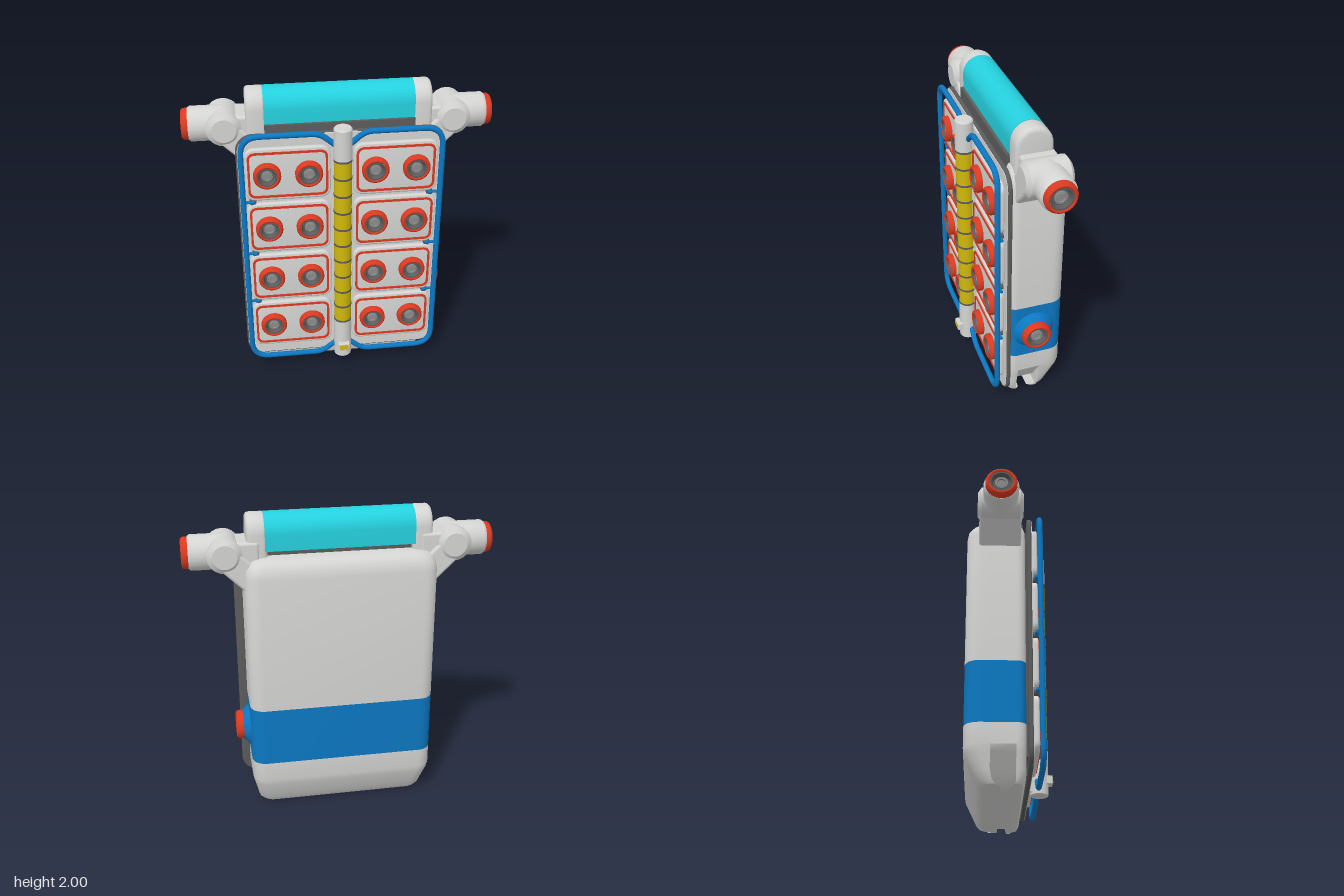
import * as THREE from 'three';
import { toCreasedNormals } from 'three/addons/utils/BufferGeometryUtils.js';
import { RoundedBoxGeometry } from 'three/addons/geometries/RoundedBoxGeometry.js';

const mat = (name, color) => {
  const m = new THREE.MeshStandardMaterial({ color });
  m.name = name;
  return m;
};

export function createModel() {
  const M = {
    shell: mat('light grey', 0xd4d5d3),
    dark: mat('dark grey', 0x5c5c5c),
    mid: mat('mid grey', 0x8b8b8b),
    blue: mat('blue', 0x0c78c2),
    red: mat('red', 0xdb3a20),
    cyan: mat('cyan', 0x25d0de),
    yellow: mat('yellow', 0xd0b80c),
  };
  const root = new THREE.Group();
  root.name = 'equipmentPack';
  const add = (name, geo, material, x = 0, y = 0, z = 0, parent = root) => {
    const mesh = new THREE.Mesh(geo, material);
    mesh.name = name;
    mesh.position.set(x, y, z);
    parent.add(mesh);
    return mesh;
  };
  const crease = (geo, a = 0.6) => toCreasedNormals(geo, a);
  const lathe = (pts, seg = 32) =>
    crease(new THREE.LatheGeometry(pts.map(p => new THREE.Vector2(...p)), seg));

  // Rounded rectangle, as a shape or a hole
  const roundRect = (w, h, r, path = new THREE.Shape()) => {
    const x = w / 2 - r, y = h / 2 - r;
    path.absarc(x, y, r, 0, Math.PI / 2);
    path.absarc(-x, y, r, Math.PI / 2, Math.PI);
    path.absarc(-x, -y, r, Math.PI, Math.PI * 1.5);
    path.absarc(x, -y, r, Math.PI * 1.5, Math.PI * 2);
    path.closePath();
    return path;
  };
  const slab = (shape, depth, bevel = 0) => {
    const geo = new THREE.ExtrudeGeometry(shape, {
      depth: depth - 2 * bevel, curveSegments: 8, bevelEnabled: bevel > 0,
      bevelThickness: bevel, bevelSize: bevel, bevelOffset: -bevel, bevelSegments: 3,
    });
    geo.translate(0, 0, bevel);
    return crease(geo);
  };

  // Body: horizontal sections joined upwards, with a recess d in each side
  const section = ([y, hw, zf, zb, d]) => {
    const half = [], rf = 0.05, rb = 0.09, n = 6;
    for (let i = 0; i <= n; i++) {
      const a = (1 - i / n) * Math.PI / 2;
      half.push([hw - rf + rf * Math.cos(a), zf - rf + rf * Math.sin(a)]);
    }
    half.push([hw, 0.03], [hw - d, 0.03], [hw - d, -0.12], [hw, -0.12]);
    for (let i = 0; i <= n; i++) {
      const a = -i / n * Math.PI / 2;
      half.push([hw - rb + rb * Math.cos(a), zb + rb + rb * Math.sin(a)]);
    }
    const ring = half.concat(half.slice().reverse().map(([x, z]) => [-x, z]));
    return ring.map(([x, z]) => [x, y, z]);
  };
  const loft = (levels, capBottom, capTop) => {
    const rings = levels.map(section), n = rings[0].length, pos = rings.flat(2), idx = [];
    for (let i = 0; i < rings.length - 1; i++) {
      for (let j = 0; j < n; j++) {
        const a = i * n + j, b = i * n + (j + 1) % n;
        idx.push(a, b, b + n, a, b + n, a + n);
      }
    }
    const cap = (row, up) => {
      const c = pos.length / 3, [y, , zf, zb] = levels[row];
      pos.push(0, y, (zf + zb) / 2);
      for (let j = 0; j < n; j++) {
        const a = row * n + j, b = row * n + (j + 1) % n;
        idx.push(c, up ? a : b, up ? b : a);
      }
    };
    if (capBottom) cap(0, false);
    if (capTop) cap(levels.length - 1, true);
    const geo = new THREE.BufferGeometry();
    geo.setAttribute('position', new THREE.Float32BufferAttribute(pos, 3));
    geo.setIndex(idx);
    return crease(geo);
  };
  add('lowerBody', loft([
    [0, 0.52, 0.05, -0.15, 0.11], [0.012, 0.548, 0.072, -0.18, 0.105], [0.04, 0.56, 0.085, -0.2, 0.09],
    [0.09, 0.57, 0.09, -0.222, 0.065], [0.19, 0.592, 0.09, -0.268, 0.02], [0.23, 0.6, 0.09, -0.275, 0],
    [0.36, 0.6, 0.09, -0.275, 0]], true, false), M.shell);
  add('bodyBand', loft([[0.36, 0.6, 0.09, -0.275, 0], [0.75, 0.6, 0.09, -0.275, 0]]), M.blue);
  add('upperBody', loft([
    [0.75, 0.6, 0.09, -0.275, 0], [1.63, 0.6, 0.09, -0.275, 0], [1.68, 0.59, 0.088, -0.267, 0],
    [1.715, 0.57, 0.08, -0.248, 0], [1.735, 0.545, 0.07, -0.225, 0], [1.745, 0.5, 0.05, -0.19, 0]],
  false, true), M.shell);

  // Handle with a domed profile
  const dome = bottom => {
    const s = new THREE.Shape();
    s.moveTo(-0.115, bottom);
    s.lineTo(0.115, bottom);
    s.lineTo(0.115, 1.885);
    s.absarc(0, 1.885, 0.115, 0, Math.PI);
    s.closePath();
    return s;
  };
  const alongX = geo => geo.rotateY(Math.PI / 2);
  add('handleGrip', alongX(slab(dome(1.78), 0.93)), M.cyan, -0.465, 0, -0.055);
  add('handleRecess', new THREE.BoxGeometry(0.93, 0.1, 0.21), M.dark, 0, 1.745, -0.025);
  for (const s of [-1, 1]) {
    add('handleEnd', alongX(slab(dome(1.68), 0.125, 0.025)), M.shell, s > 0 ? 0.45 : -0.575, 0, -0.055);
  }

  // Socket facing +z: red rim, dark bowl, mid grey core
  const socket = (name, r, depth, parent) => {
    const g = new THREE.Group();
    g.name = name;
    const d = depth;
    const part = (n, pts, m) => add(n, lathe(pts).rotateX(Math.PI / 2), m, 0, 0, 0, g);
    part('rim', [[r, 0], [r, d * 0.6], [r * 0.93, d * 0.88], [r * 0.83, d], [r * 0.74, d * 0.92], [r * 0.72, 0]], M.red);
    part('bowl', [[r * 0.73, d * 0.85], [r * 0.63, d * 0.85], [r * 0.52, d * 0.3], [0, d * 0.3]], M.dark);
    part('core', [[r * 0.4, d * 0.3], [r * 0.4, d * 0.55], [r * 0.27, d * 0.6], [r * 0.25, d * 0.4], [0, d * 0.4]], M.mid);
    parent.add(g);
    return g;
  };

  // Side arms: drum, pipe, socket and strut
  const az = -0.068, ay = 1.77;
  for (const s of [-1, 1]) {
    const arm = new THREE.Group();
    arm.name = s > 0 ? 'leftArm' : 'rightArm';
    arm.position.set(0, ay, az);
    root.add(arm);
    add('drum', lathe([[0, -0.143], [0.075, -0.143], [0.108, -0.12], [0.108, 0.12], [0.075, 0.143], [0, 0.143]], 20)
      .rotateX(Math.PI / 2), M.shell, s * 0.71, 0, 0, arm);
    const pipe = lathe([[0, 0], [0.11, 0], [0.11, 0.2], [0.1, 0.215], [0, 0.215]], 24);
    add('pipe', pipe.rotateZ(-s * Math.PI / 2), M.shell, s * 0.71, 0, 0, arm);
    const end = socket('armSocket', 0.098, 0.045, arm);
    end.position.x = s * 0.922;
    end.rotation.y = s * Math.PI / 2;
    const strut = add('strut', new RoundedBoxGeometry(0.16, 0.26, 0.265, 3, 0.02), M.shell, s * 0.625, -0.09, 0, arm);
    strut.rotation.z = -s * 0.8;
    add('bridge', new RoundedBoxGeometry(0.2, 0.15, 0.22, 3, 0.02), M.shell, s * 0.6, 0, 0, arm);
  }

  // Socket on the left side of the body
  add('sideBoss', lathe([[0.135, 0], [0.125, 0.012], [0.095, 0.045], [0, 0.045]])
    .rotateZ(-Math.PI / 2), M.blue, 0.599, 0.56, az);
  const side = socket('sideSocket', 0.095, 0.046, root);
  side.position.set(0.643, 0.56, az);
  side.rotation.y = Math.PI / 2;

  // Front plate
  add('frontSpacer', new THREE.BoxGeometry(1.1, 1.5, 0.03), M.dark, 0, 0.92, 0.095);
  add('frontPlate', slab(roundRect(1.3, 1.67, 0.11), 0.026, 0.006), M.dark, 0, 0.925, 0.1);
  add('frontFace', slab(roundRect(1.28, 1.65, 0.1), 0.006), M.shell, 0, 0.925, 0.124);

  // Eight cells, each with a red outline and two sockets
  const cellGeo = slab(roundRect(0.53, 0.355, 0.06), 0.036, 0.01);
  const outline = roundRect(0.495, 0.31, 0.045);
  outline.holes.push(roundRect(0.467, 0.282, 0.032, new THREE.Path()));
  const outlineGeo = slab(outline, 0.008);
  for (const s of [-1, 1]) {
    for (let i = 0; i < 4; i++) {
      const cell = new THREE.Group();
      cell.name = 'cell';
      cell.position.set(s * 0.336, 0.365 + i * 0.38, 0.129);
      root.add(cell);
      add('cellPad', cellGeo, M.shell, 0, 0, 0, cell);
      add('cellOutline', outlineGeo, M.red, 0, 0, 0.035, cell);
      for (const k of [-1, 1]) socket('cellSocket', 0.086, 0.042, cell).position.set(k * 0.129, 0, 0.034);
    }
  }

  // Blue tube frame, one loop per side, with rounded corners
  const tubePath = (pts, radii) => {
    const path = new THREE.CurvePath();
    let last = pts[0];
    for (let i = 1; i < pts.length - 1; i++) {
      const p = pts[i], r = radii[i - 1];
      const a = p.clone().add(pts[i - 1].clone().sub(p).setLength(r));
      const b = p.clone().add(pts[i + 1].clone().sub(p).setLength(r));
      path.add(new THREE.LineCurve3(last, a));
      path.add(new THREE.QuadraticBezierCurve3(a, p, b));
      last = b;
    }
    path.add(new THREE.LineCurve3(last, pts[pts.length - 1]));
    return path;
  };
  for (const s of [-1, 1]) {
    const pts = [[0.04, 1.69], [0.14, 1.775], [0.62, 1.775], [0.62, 0.107], [0.14, 0.107], [0.04, 0.19]]
      .map(([x, y]) => new THREE.Vector3(s * x, y, 0.182));
    add('frameTube', new THREE.TubeGeometry(tubePath(pts, [0.05, 0.12, 0.12, 0.05]), 140, 0.018, 10), M.blue);
    for (const y of [0.56, 0.935, 1.315]) {
      add('frameClip', new THREE.CylinderGeometry(0.01, 0.01, 0.07, 10).rotateZ(Math.PI / 2), M.blue, s * 0.588, y, 0.155);
      add('clipStud', new THREE.CylinderGeometry(0.022, 0.022, 0.03, 14).rotateX(Math.PI / 2), M.dark, s * 0.56, y, 0.144);
      add('clipCap', new THREE.SphereGeometry(0.015, 12, 8), M.blue, s * 0.56, y, 0.157);
    }
  }

  // Spine: post, yellow sleeve and dark bands
  const sz = 0.195;
  add('spineBack', new THREE.BoxGeometry(0.09, 1.6, 0.06), M.shell, 0, 0.92, 0.15);
  add('spinePost', lathe([[0, 0.1], [0.052, 0.1], [0.058, 0.106], [0.058, 0.4], [0.05, 0.4], [0.05, 1.6],
    [0.058, 1.6], [0.058, 1.805], [0.05, 1.815], [0, 1.815]], 24), M.shell, 0, 0, sz);
  add('spineSleeve', new THREE.CylinderGeometry(0.056, 0.056, 1.2, 24, 1, true), M.yellow, 0, 1, sz);
  for (let i = 0; i <= 10; i++) {
    add('spineBand', new THREE.CylinderGeometry(0.0585, 0.0585, 0.013, 24), M.dark, 0, 0.4 + i * 0.12, sz);
  }
  add('spineBracket', new THREE.BoxGeometry(0.2, 0.07, 0.04), M.shell, 0, 1.72, 0.12);
  add('latch', new RoundedBoxGeometry(0.078, 0.055, 0.05, 2, 0.006), M.shell, 0, 0.2, 0.253);
  add('latchFace', new THREE.BoxGeometry(0.06, 0.036, 0.006), M.yellow, 0, 0.2, 0.278);
  return root;
}
